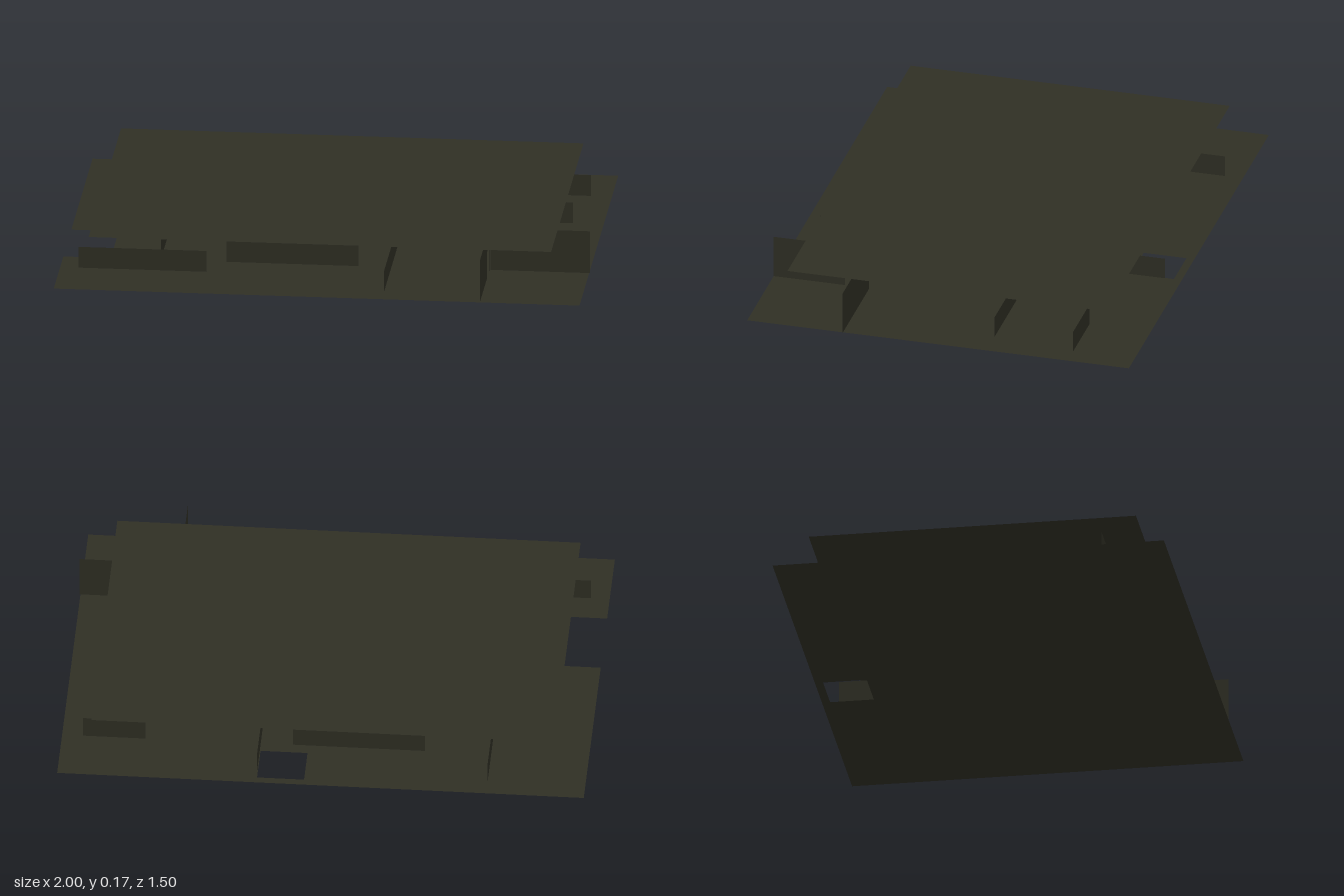
import * as THREE from 'three';

const LOW = 0.083, TALL = 0.167;

export function createModel() {
  const model = new THREE.Group();
  model.name = 'floorPlan';
  const olive = new THREE.MeshStandardMaterial({ color: 0x2f2f24, side: THREE.DoubleSide });
  olive.name = 'darkOlive';

  const add = (name, geometry) => {
    const mesh = new THREE.Mesh(geometry, olive);
    mesh.name = name;
    model.add(mesh);
    return mesh;
  };
  const outline = (points) => new THREE.Shape(points.map(([a, b]) => new THREE.Vector2(a, b)));

  // Horizontal sheet: outline given as x, z pairs
  const sheet = (name, shape, y) =>
    add(name, new THREE.ShapeGeometry(shape).rotateX(Math.PI / 2)).position.y = y;

  // Upright sheets: one along x, one along z
  const wallX = (name, z, x0, x1, h) =>
    add(name, new THREE.PlaneGeometry(x1 - x0, h)).position.set((x0 + x1) / 2, h / 2, z);
  const wallZ = (name, x, z0, z1, h) =>
    add(name, new THREE.PlaneGeometry(z1 - z0, h).rotateY(Math.PI / 2)).position.set(x, h / 2, (z0 + z1) / 2);

  // Floor with a side notch and a rectangular opening at the back
  const floor = outline([[-1, -0.75], [0.995, -0.75], [0.995, 0.745], [-1, 0.745],
    [-1, 0.375], [-0.82, 0.375], [-0.82, 0.067], [-1, 0.067]]);
  floor.holes.push(outline([[0.062, -0.719], [0.24, -0.719], [0.24, -0.552], [0.062, -0.552]]));
  sheet('floor', floor, 0);

  // Raised ceiling
  sheet('ceiling', outline([[-0.88, -0.63], [0.875, -0.63], [0.875, 0.62], [-0.88, 0.62]]), TALL);

  // Low partitions: [z, x0, x1]
  [[0.497, -0.93, -0.445], [0.376, -0.38, 0.12], [-0.504, -0.38, 0.12],
    [-0.192, 0.435, 0.878], [-0.51, 0.68, 0.915]]
    .forEach(([z, x0, x1]) => wallX('crossPartition', z, x0, x1, LOW));

  // Low partitions: [x, z0, z1]
  [[0.245, 0.125, 0.665], [0.243, -0.685, -0.19], [-0.63, -0.68, -0.19],
    [-0.63, -0.125, 0.375], [0.435, -0.125, 0.065]]
    .forEach(([x, z0, z1]) => wallZ('lengthPartition', x, z0, z1, LOW));

  // Tall corner room: plain wall, and a wall with a doorway
  wallX('roomWall', 0.37, 0.62, 0.998, TALL);
  const doorWall = outline([[-0.745, 0], [-0.466, 0], [-0.466, 0.105], [-0.394, 0.105],
    [-0.394, 0], [-0.372, 0], [-0.372, TALL], [-0.745, TALL]]);
  add('doorwayWall', new THREE.ShapeGeometry(doorWall).rotateY(Math.PI / 2)).position.x = 0.617;

  return model;
}
